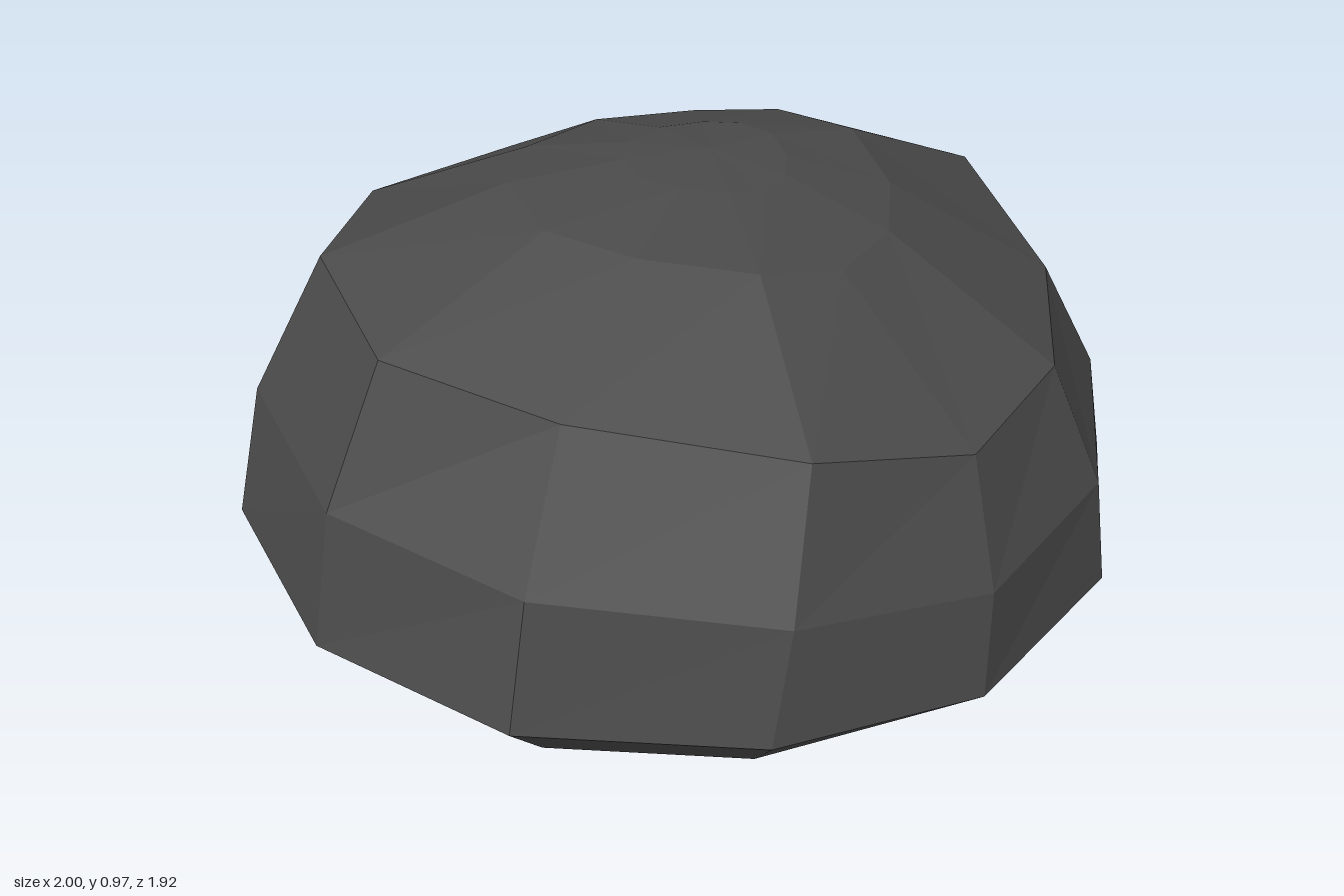
import * as THREE from 'three';

// Widest outline near the ground: x, y, z, going round from the back
const RIM = [
  [0.07, 0.12, -0.96], [0.52, 0.14, -0.82], [0.87, 0.15, -0.46], [1, 0.16, 0.02],
  [0.87, 0.16, 0.5], [0.53, 0.16, 0.83], [0.08, 0.19, 0.96], [-0.42, 0.19, 0.87],
  [-0.81, 0.16, 0.54], [-1, 0.17, 0.08], [-0.86, 0.16, -0.47], [-0.47, 0.14, -0.84],
];
// Shoulder where the sides turn into the domed top
const SHOULDER = [
  [0.1, 0.59, -0.84], [0.46, 0.65, -0.72], [0.73, 0.72, -0.4], [0.82, 0.66, 0.02],
  [0.74, 0.65, 0.39], [0.51, 0.64, 0.66], [0.17, 0.72, 0.76], [-0.29, 0.78, 0.67],
  [-0.63, 0.8, 0.45], [-0.76, 0.81, 0.06], [-0.67, 0.73, -0.36], [-0.35, 0.64, -0.72],
];
const PEAK = [0.07, 0.97, -0.03];
const N = RIM.length;

// Shrinks the shoulder towards the peak, with heights from a rule
const towardPeak = (k, height) => SHOULDER.map(([x, y, z]) => [
  PEAK[0] + (x - PEAK[0]) * k, height(y), PEAK[2] + (z - PEAK[2]) * k,
]);

function rockGeometry() {
  const rings = [
    RIM.map(([x, , z]) => [x * 0.85, 0.015 + z * 0.015, z * 0.86]), // foot
    RIM,
    RIM.map(([x, , z], i) => [ // bulging middle of the side
      x * 0.55 + SHOULDER[i][0] * 0.45 + x * 0.035,
      SHOULDER[i][1] * 0.61,
      z * 0.55 + SHOULDER[i][2] * 0.45 + z * 0.035,
    ]),
    SHOULDER,
    towardPeak(0.52, (y) => 0.895 + (y - 0.7) * 0.4),
    towardPeak(0.22, (y) => 0.955 + (y - 0.7) * 0.1),
  ];
  const points = [...rings.flat(), PEAK, [0, 0.015, 0]];
  const peak = rings.length * N;
  const index = [];
  for (let i = 0; i < N; i++) {
    const j = (i + 1) % N;
    for (let r = 0; r < rings.length - 1; r++) {
      const a = r * N + i, b = r * N + j;
      index.push(a, a + N, b, b, a + N, b + N);
    }
    index.push(peak - N + i, peak, peak - N + j); // top fan
    index.push(i, j, peak + 1); // flat underside
  }
  const geometry = new THREE.BufferGeometry();
  geometry.setAttribute('position', new THREE.Float32BufferAttribute(points.flat(), 3));
  geometry.setIndex(index);
  geometry.computeVertexNormals();
  return geometry;
}

export function createModel() {
  const group = new THREE.Group();
  group.name = 'boulder';
  const material = new THREE.MeshStandardMaterial({ color: 0x4a4a4a, flatShading: true });
  const rock = new THREE.Mesh(rockGeometry(), material);
  rock.name = 'rock';
  group.add(rock);
  return group;
}
